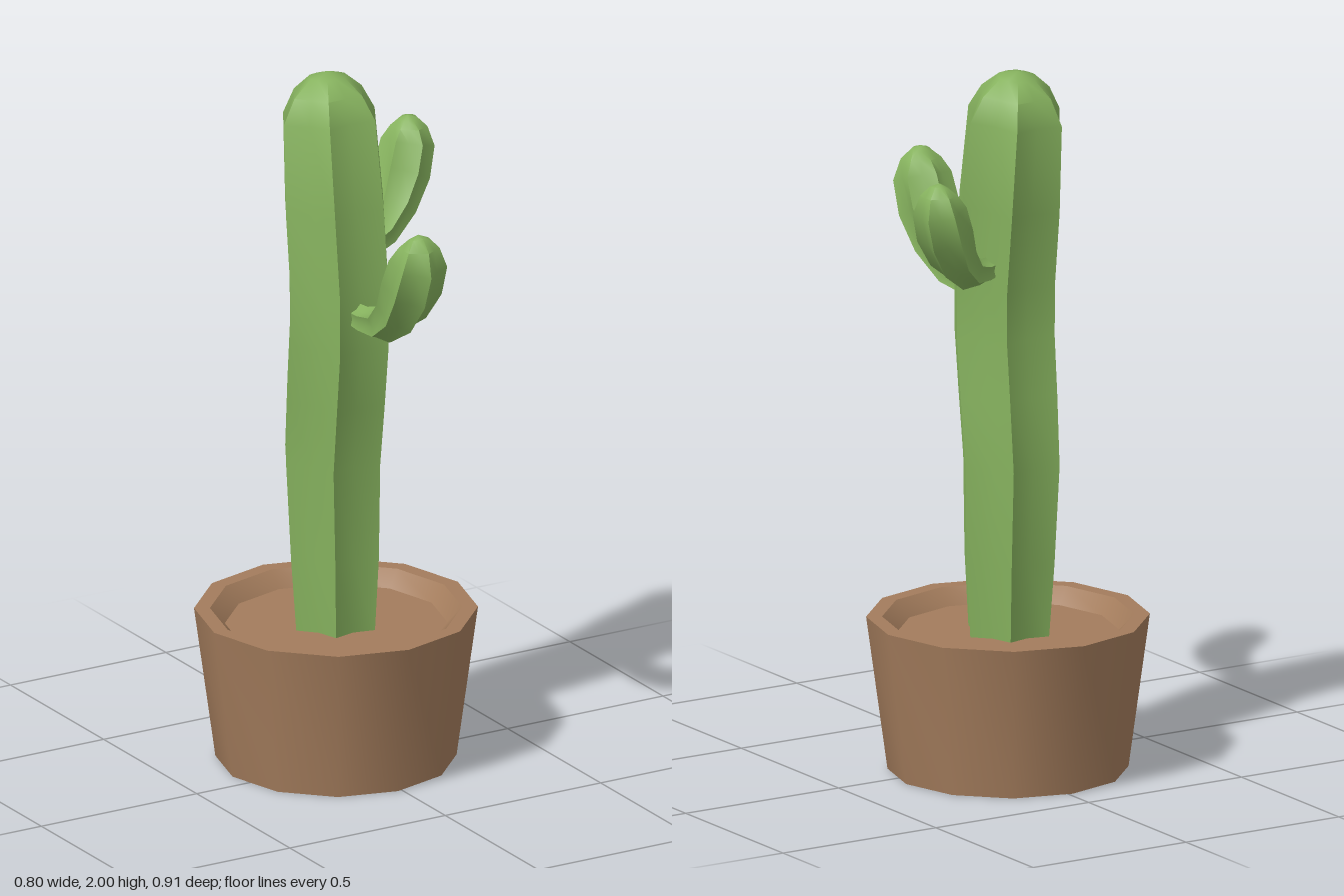
import * as THREE from 'three';
import { toCreasedNormals } from 'three/addons/utils/BufferGeometryUtils.js';

const CREASE = THREE.MathUtils.degToRad(42);

// Ribbed stem swept along a path in the yz plane.
// Each ring is [z, y, rib radius, valley / rib ratio].
function ribbedStem(rings, ribs, phase, widen = 1) {
  const n = ribs * 2, pos = [], idx = [];
  rings.forEach(([z, y, r, valley], i) => {
    const a = rings[Math.max(i - 1, 0)], b = rings[Math.min(i + 1, rings.length - 1)];
    const len = Math.hypot(b[0] - a[0], b[1] - a[1]);
    const tz = (b[0] - a[0]) / len, ty = (b[1] - a[1]) / len;
    for (let j = 0; j < n; j++) {
      const t = phase + (j / n) * Math.PI * 2;
      const q = j % 2 ? r * valley : r;
      const c = Math.cos(t) * q;
      pos.push(Math.sin(t) * q * widen, y - tz * c, z + ty * c);
    }
  });
  for (let i = 0; i < rings.length - 1; i++) {
    for (let j = 0; j < n; j++) {
      const k = (j + 1) % n, p = i * n, q = p + n;
      idx.push(p + j, p + k, q + j);
      if (i < rings.length - 2) idx.push(p + k, q + k, q + j); // last ring closes to a point
    }
  }
  const g = new THREE.BufferGeometry();
  g.setAttribute('position', new THREE.Float32BufferAttribute(pos, 3));
  g.setIndex(idx);
  return toCreasedNormals(g, CREASE);
}

export function createModel() {
  const model = new THREE.Group();
  model.name = 'pottedCactus';
  const green = new THREE.MeshStandardMaterial({ color: 0x86b25e });
  const brown = new THREE.MeshStandardMaterial({ color: 0xa37c5c });
  const add = (name, geometry, material, x, y, z) => {
    const mesh = new THREE.Mesh(geometry, material);
    mesh.name = name;
    mesh.position.set(x, y, z);
    model.add(mesh);
    return mesh;
  };

  // Twelve-sided pot with a bevelled inner lip
  const profile = [[0, 0], [0.333, 0], [0.392, 0.435], [0.348, 0.435], [0.307, 0.39]]
    .map(([r, y]) => new THREE.Vector2(r, y));
  add('pot', toCreasedNormals(new THREE.LatheGeometry(profile, 12), CREASE), brown, -0.013, 0, -0.065);

  // Soil filling the pot
  const soil = new THREE.CircleGeometry(0.307, 12).rotateX(-Math.PI / 2);
  add('soil', soil, brown, -0.013, 0.39, -0.065);

  // Gently swaying trunk with six ribs and a rounded top
  const trunk = [
    [-0.067, 0.38, 0.125, 0.75], [-0.071, 0.6, 0.14, 0.75], [-0.081, 0.88, 0.15, 0.75],
    [-0.063, 1.07, 0.154, 0.75], [-0.046, 1.24, 0.156, 0.75], [-0.047, 1.4, 0.156, 0.75],
    [-0.072, 1.62, 0.156, 0.75], [-0.1, 1.87, 0.146, 0.78], [-0.106, 1.94, 0.108, 0.86],
    [-0.11, 1.985, 0.055, 0.95], [-0.112, 2.0, 0, 1],
  ];
  add('trunk', ribbedStem(trunk, 6, Math.PI / 6), green, -0.014, 0, 0);

  // Upturned arms, sharing one shape measured from the trunk axis
  const arm = ribbedStem([
    [0.08, 0, 0.034, 0.75], [0.16, 0.002, 0.04, 0.75], [0.25, 0.02, 0.052, 0.75],
    [0.335, 0.085, 0.068, 0.75], [0.39, 0.17, 0.08, 0.75], [0.425, 0.255, 0.076, 0.78],
    [0.432, 0.305, 0.052, 0.88], [0.429, 0.33, 0.026, 0.95], [0.426, 0.341, 0, 1],
  ], 6, 0, 1.1);
  add('frontArm', arm, green, -0.016, 1.335, -0.045);
  const leftArm = add('leftArm', arm, green, -0.01, 1.447, -0.055);
  leftArm.rotation.y = THREE.MathUtils.degToRad(120);
  leftArm.scale.setScalar(0.92);

  return model;
}
